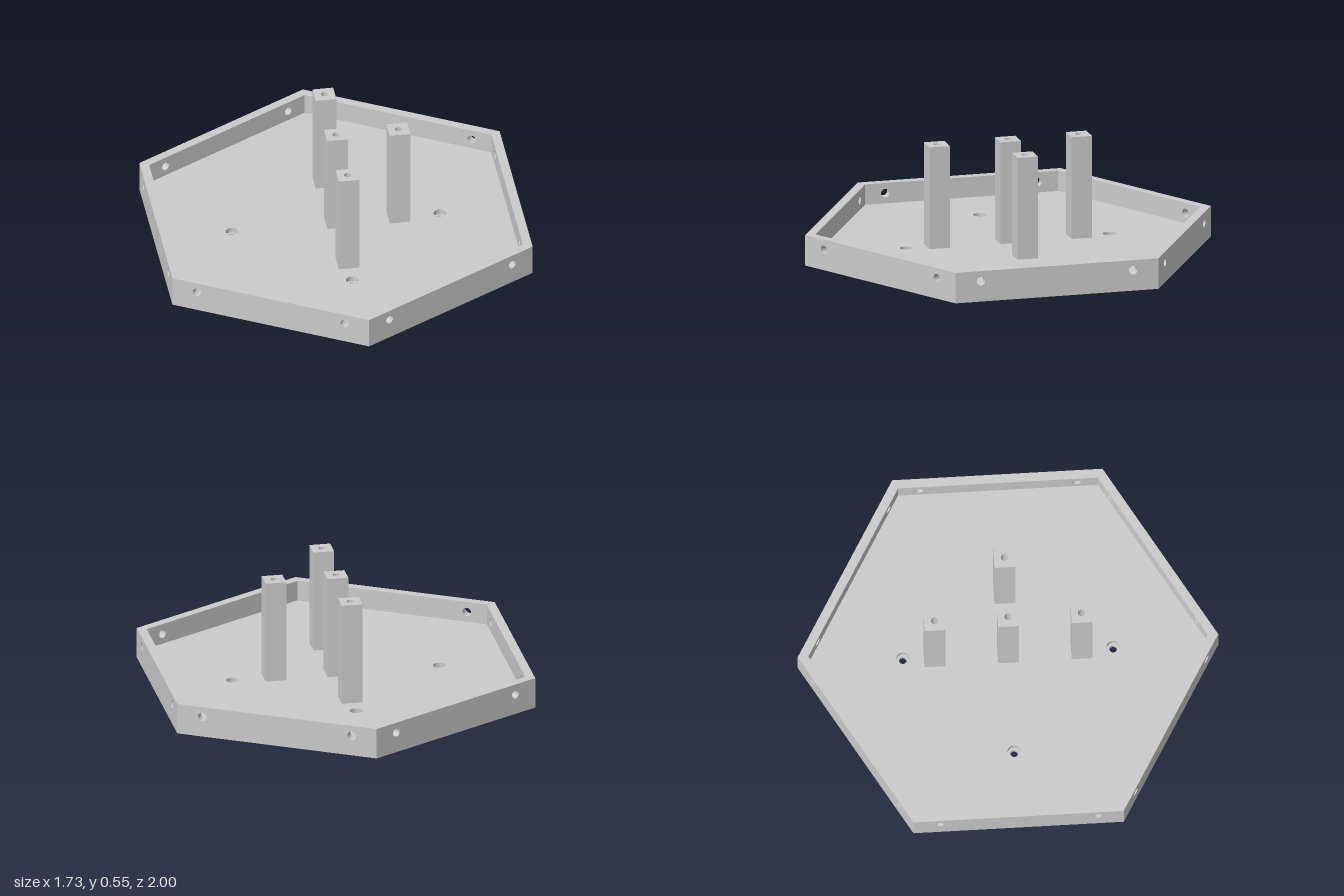
import * as THREE from 'three';

const material = new THREE.MeshStandardMaterial({ color: 0xcccccc, flatShading: true });
const APOTHEM = Math.sqrt(3) / 2;
const FLOOR = 0.05, RIM = 0.15, INNER = 0.95;
const WALL = APOTHEM * (1 - INNER);

function polygon(points, holes = []) {
  const shape = new THREE.Shape(points.map(([x, y]) => new THREE.Vector2(x, y)));
  for (const [x, y, r] of holes) shape.holes.push(new THREE.Path().absarc(x, y, r, 0, Math.PI * 2, true));
  return shape;
}

const extrude = (shape, depth) =>
  new THREE.ExtrudeGeometry(shape, { depth, bevelEnabled: false, curveSegments: 12 });

// Horizontal plate from y0 to y1; the shape's y axis becomes -z
function slab(name, shape, y0, y1) {
  const mesh = new THREE.Mesh(extrude(shape, y1 - y0).rotateX(-Math.PI / 2).translate(0, y0, 0), material);
  mesh.name = name;
  return mesh;
}

const square = (h) => [[-h, -h], [h, -h], [h, h], [-h, h]];

export function createModel() {
  const model = new THREE.Group();
  model.name = 'hexagonalTray';

  // Hexagonal floor with counterbored screw holes and a centre hole
  const hexagon = Array.from({ length: 6 }, (_, i) => {
    const a = Math.PI / 6 + (i * Math.PI) / 3;
    return [Math.cos(a), Math.sin(a)];
  });
  const screws = [[0.5, 0], [-0.5, 0], [0, 0.5], [0, -0.5]];
  const floorHoles = (r) => [...screws.map(([x, y]) => [x, y, r]), [0, 0, 0.018]];
  model.add(slab('floorLower', polygon(hexagon, floorHoles(0.018)), 0, FLOOR / 2));
  model.add(slab('floorUpper', polygon(hexagon, floorHoles(0.031)), FLOOR / 2, FLOOR));

  // Six rim walls, each with two through holes and mitred ends
  const panel = polygon(
    [[-0.5, FLOOR], [0.5, FLOOR], [0.5, RIM], [-0.5, RIM]],
    [[-0.375, 0.1, 0.021], [0.375, 0.1, 0.021]]
  );
  const wallGeometry = extrude(panel, WALL);
  const pos = wallGeometry.attributes.position;
  for (let i = 0; i < pos.count; i++) {
    const x = pos.getX(i);
    if (pos.getZ(i) < WALL / 2 && Math.abs(x) > 0.49) pos.setX(i, Math.sign(x) * 0.5 * INNER);
  }
  wallGeometry.translate(0, 0, APOTHEM - WALL);
  wallGeometry.computeVertexNormals();
  for (let i = 0; i < 6; i++) {
    const wall = new THREE.Mesh(wallGeometry, material);
    wall.name = 'rimWall' + (i + 1);
    wall.rotation.y = Math.PI / 6 + (i * Math.PI) / 3;
    model.add(wall);
  }

  // Square standing posts with a blind screw hole in the top
  const TOP = 0.55, HOLE_DEPTH = 0.2;
  [[0, 0], [0.3, 0], [0, 0.35], [0, -0.35]].forEach(([x, z], i) => {
    const post = new THREE.Group();
    post.name = 'post' + (i + 1);
    post.add(slab('postBase', polygon(square(0.05)), FLOOR, TOP - HOLE_DEPTH));
    post.add(slab('postTop', polygon(square(0.05), [[0, 0, 0.017]]), TOP - HOLE_DEPTH, TOP));
    post.position.set(x, 0, z);
    model.add(post);
  });

  return model;
}
